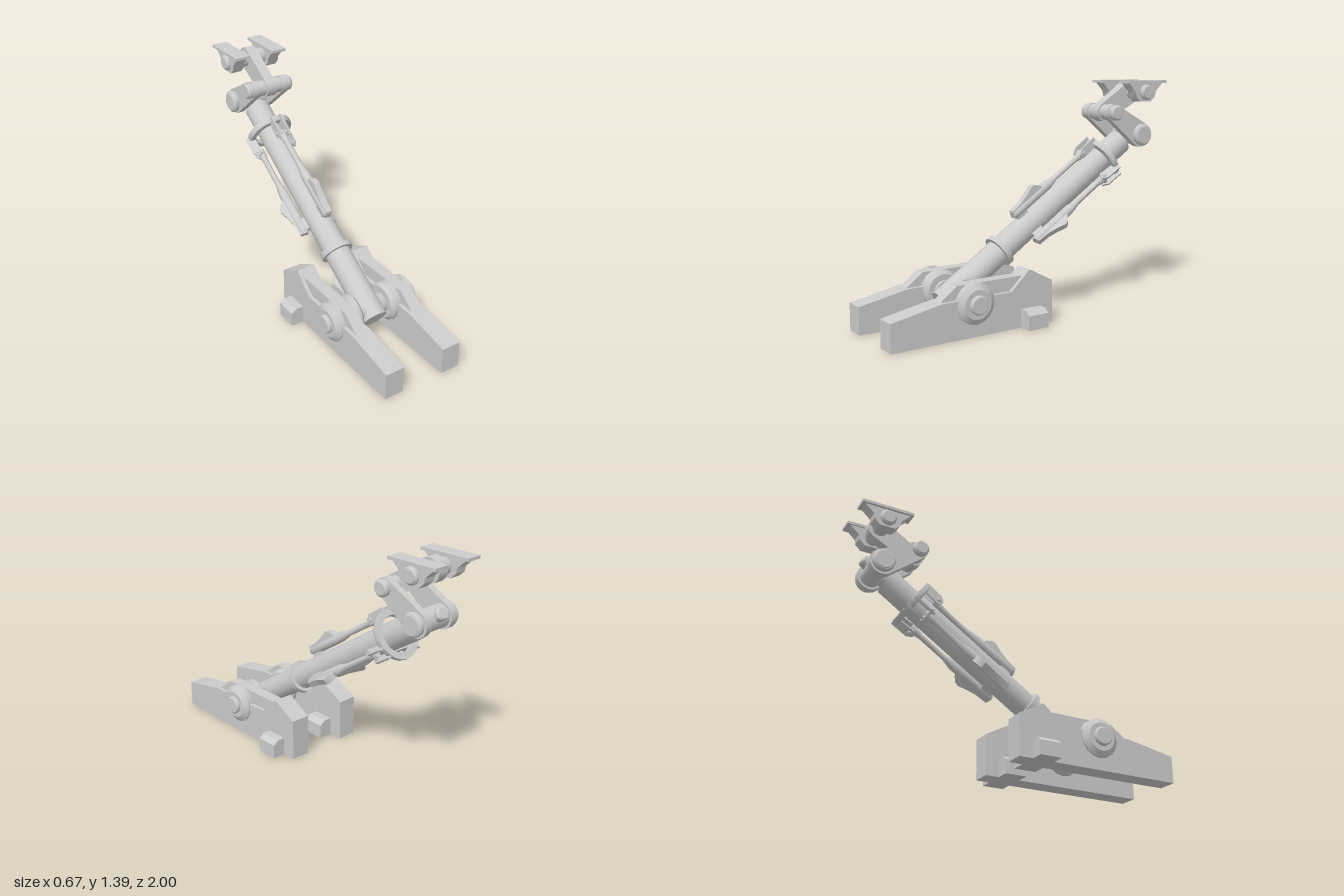
import * as THREE from 'three';
import { toCreasedNormals } from 'three/addons/utils/BufferGeometryUtils.js';

const material = new THREE.MeshStandardMaterial({ color: 0xcccccc });

function add(parent, name, geometry) {
  const mesh = new THREE.Mesh(toCreasedNormals(geometry, 0.6), material);
  mesh.name = name;
  parent.add(mesh);
  return mesh;
}

// Turned solid around y from [radius, height] pairs listed upwards
const turned = (points, sides = 20) =>
  new THREE.LatheGeometry(points.map(([r, h]) => new THREE.Vector2(r, h)), sides);

// Turned solid lying along x
const turnedX = (points, sides) => turned(points, sides).rotateZ(-Math.PI / 2);

// Pin along x, symmetric, with chamfered rims
const pinX = (r, half, c = 0.012, sides = 20) =>
  turnedX([[0, -half], [r - c, -half], [r, c - half], [r, half - c], [r - c, half], [0, half]], sides);

// Side profile of [z, y] pairs, extruded along x around centre cx
function slab(profile, width, cx = 0) {
  const shape = profile instanceof THREE.Shape
    ? profile
    : new THREE.Shape(profile.map(([z, y]) => new THREE.Vector2(-z, y)));
  return new THREE.ExtrudeGeometry(shape, { depth: width, bevelEnabled: false, curveSegments: 14 })
    .translate(0, 0, -width / 2).rotateY(Math.PI / 2).translate(cx, 0, 0);
}

// Tapered link outline: two round ends joined by tangents
function linkShape([z1, y1], r1, [z2, y2], r2) {
  const phi = Math.atan2(y2 - y1, z1 - z2);
  const beta = Math.acos((r1 - r2) / Math.hypot(z2 - z1, y2 - y1));
  const shape = new THREE.Shape();
  shape.absarc(-z1, y1, r1, phi + beta, phi - beta + 2 * Math.PI, false);
  shape.absarc(-z2, y2, r2, phi - beta, phi + beta, false);
  return shape;
}

// One base rail with its foot, pivot housing and bracket; side is +1 or -1
function buildRail(side) {
  const rail = new THREE.Group();
  rail.name = side > 0 ? 'leftRail' : 'rightRail';
  const cx = side * 0.195;
  add(rail, 'railBody', slab([[1, 0], [1, 0.163], [0.69, 0.22], [0.24, 0.22], [0.115, 0.335],
    [-0.045, 0.25], [-0.045, 0]], 0.12, cx));
  add(rail, 'pivotBracket', slab([[0.69, 0.2], [0.69, 0.22], [0.585, 0.3], [0.15, 0.3],
    [0.15, 0.2]], 0.074, cx));

  // Cross foot with chamfered ends
  const foot = new THREE.Shape([[-0.143, 0], [0.143, 0], [0.143, 0.085], [0.11, 0.11],
    [-0.11, 0.11], [-0.143, 0.085]].map(([x, y]) => new THREE.Vector2(x, y)));
  add(rail, 'crossFoot', new THREE.ExtrudeGeometry(foot, { depth: 0.135, bevelEnabled: false })
    .translate(side * 0.192, 0, 0.04));

  // Pivot housing: drum halves either side of the bracket, with a hub outside
  const drum = [[0, 0.055], [0.07, 0.055], [0.062, 0.095], [0.098, 0.095], [0.118, 0.115],
    [0.118, 0.158], [0.095, 0.158], [0.095, 0.232], [0.118, 0.232], [0.118, 0.265], [0.085, 0.288],
    [0.056, 0.288], [0.056, 0.302], [0.048, 0.31], [0, 0.31]];
  const housing = add(rail, 'pivotHousing', turnedX(drum, 16));
  housing.position.set(0, 0.19, 0.48);
  if (side < 0) housing.rotation.y = Math.PI;
  return rail;
}

// Small actuator beside the main tube; local y runs along the tube, z points outwards
function buildActuator() {
  const actuator = new THREE.Group();
  actuator.name = 'actuator';
  const r = 0.116;
  add(actuator, 'actuatorBody', turned([[0, 0.58], [0.022, 0.58], [0.03, 0.595], [0.03, 0.88],
    [0.017, 0.95], [0.017, 1.13], [0.024, 1.17], [0.024, 1.21], [0, 1.21]], 12).translate(0, 0, r));
  // Raised port housing
  add(actuator, 'portHousing', slab([[0.1, 0.575], [0.145, 0.585], [0.15, 0.66], [0.165, 0.72],
    [0.185, 0.775], [0.178, 0.8], [0.15, 0.83], [0.1, 0.85]], 0.04));
  // Mount on the main tube
  add(actuator, 'actuatorMount', slab([[0.06, 0.59], [0.11, 0.6], [0.11, 0.66], [0.06, 0.68]], 0.04));
  // Clevis and pin on the upper collar
  for (const side of [-1, 1]) {
    add(actuator, 'clevisPlate', slab([[0.1, 1.18], [0.135, 1.165], [0.16, 1.2], [0.163, 1.31],
      [0.11, 1.31]], 0.012, side * 0.032));
  }
  const pin = add(actuator, 'clevisPin', pinX(0.014, 0.048, 0.004, 10));
  pin.position.set(0, 1.195, r + 0.012);
  return actuator;
}

function buildArm() {
  const arm = new THREE.Group();
  arm.name = 'arm';
  arm.position.set(0, 0.19, 0.48);
  arm.rotation.x = -0.992;
  // Main tube, neck and the boss past the top pivot
  add(arm, 'mainTube', turned([[0, -0.082], [0.078, -0.082], [0.078, 1.489], [0.05, 1.489],
    [0.05, 1.57], [0.037, 1.57], [0.037, 1.665], [0.03, 1.675], [0, 1.675]], 24));
  add(arm, 'lowerCollar', turned([[0.07, 0.375], [0.1, 0.375], [0.1, 0.408], [0.07, 0.408]], 24));
  add(arm, 'upperCollar', turned([[0.108, 1.28], [0.14, 1.28], [0.146, 1.29], [0.146, 1.315],
    [0.108, 1.315], [0.108, 1.28]], 20));
  // Three actuators evenly spaced around the tube
  for (let i = 0; i < 3; i++) {
    const actuator = buildActuator();
    actuator.rotation.y = i * 2 * Math.PI / 3;
    arm.add(actuator);
  }
  return arm;
}

function buildHead() {
  const head = new THREE.Group();
  head.name = 'head';
  const low = [-0.84, 1.053], knee = [-0.62, 1.197], top = [-0.84, 1.32];
  const pin = (name, [z, y], r, half) => add(head, name, pinX(r, half)).position.set(0, y, z);

  pin('lowerPin', low, 0.065, 0.157);
  pin('kneePin', knee, 0.048, 0.157);
  pin('topPin', top, 0.048, 0.184);
  add(head, 'centreLink', slab(linkShape(knee, 0.058, top, 0.07), 0.066));

  for (const side of [-1, 1]) {
    add(head, 'sideLink', slab(linkShape(low, 0.078, knee, 0.053), 0.042, side * 0.1));
    // Flange on the lower pin
    add(head, 'lowerFlange', pinX(0.068, 0.015, 0.008)).position.set(side * 0.138, low[1], low[0]);
    // Clamp under each top pad
    add(head, 'padClamp', slab([[-0.7, 1.38], [-0.755, 1.325], [-0.765, 1.29], [-0.795, 1.262],
      [-0.885, 1.262], [-0.92, 1.295], [-0.925, 1.325], [-0.985, 1.38]], 0.072, side * 0.124));
    add(head, 'topPad', new THREE.BoxGeometry(0.097, 0.017, 0.313).translate(side * 0.127, 1.384, -0.8435));
  }
  return head;
}

export function createModel() {
  const model = new THREE.Group();
  model.name = 'hydraulicArm';
  model.add(buildRail(1), buildRail(-1), buildArm(), buildHead());
  return model;
}
